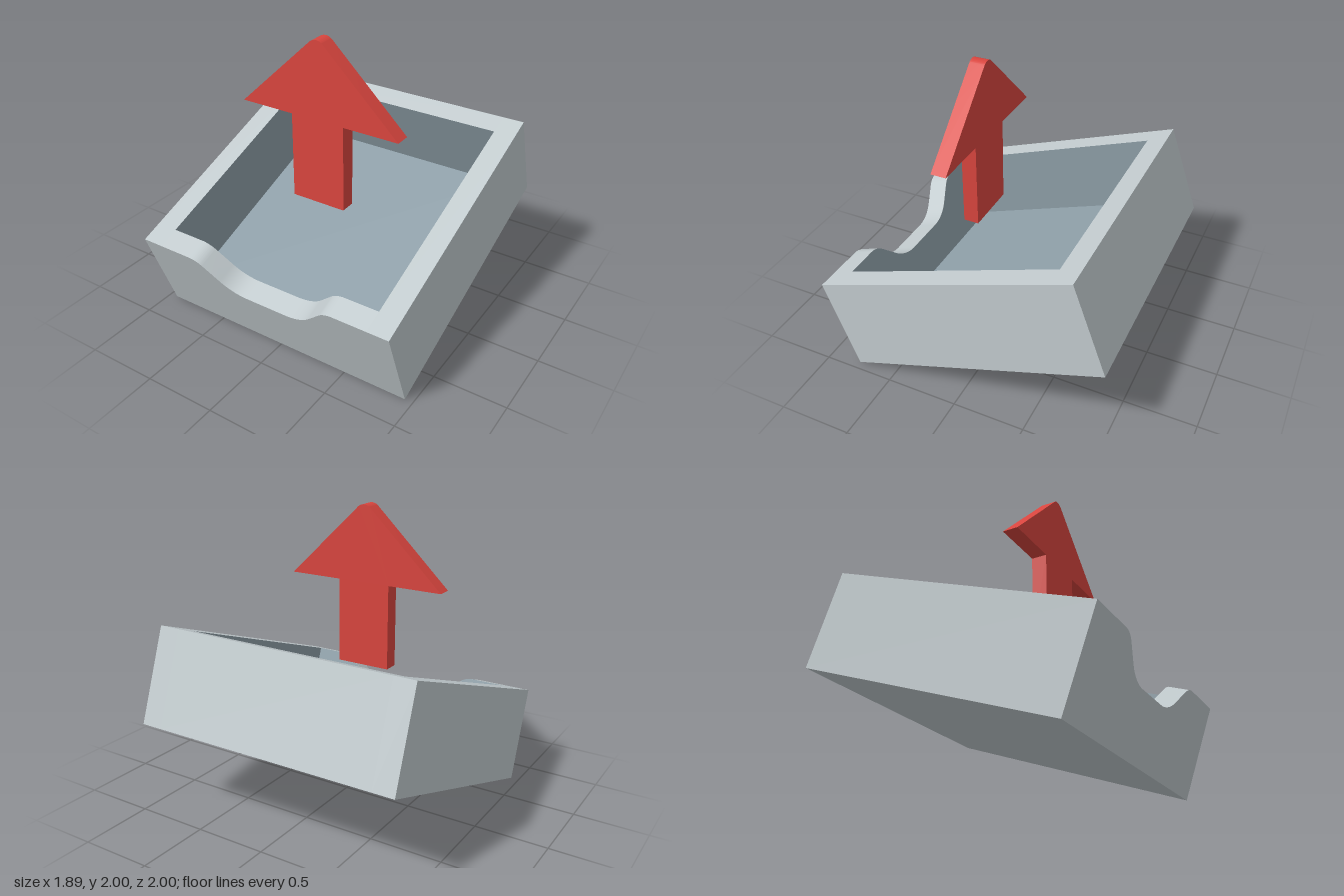
import * as THREE from 'three';
import { toCreasedNormals } from 'three/addons/utils/BufferGeometryUtils.js';

const W = 1.888, D = 1.888, H = 0.658; // tray outside size
const T = 0.15;                        // wall and floor thickness
const IN = W / 2 - T;                  // half width of the cavity

function material(name, color) {
  const m = new THREE.MeshStandardMaterial({ color });
  m.name = name;
  return m;
}

function addMesh(parent, name, geometry, mat, x = 0, y = 0, z = 0) {
  const mesh = new THREE.Mesh(geometry, mat);
  mesh.name = name;
  mesh.position.set(x, y, z);
  parent.add(mesh);
  return mesh;
}

// front wall outline with a rounded scoop in its top edge
function scoopShape(bottom) {
  const drop = 0.23, start = 0.56, r1 = 0.15, r2 = 0.28, q = Math.PI / 4;
  const c = Math.cos(q);
  const run = drop - (r1 + r2) * (1 - c); // straight 45 degree part
  const end = start - (r1 + r2) * c - run;
  const s = new THREE.Shape();
  s.moveTo(-IN, bottom);
  s.lineTo(IN, bottom);
  s.lineTo(IN, H);
  s.lineTo(start, H);
  s.absarc(start, H - r1, r1, 2 * q, 3 * q, false);
  s.absarc(end, H - drop + r2, r2, -q, -2 * q, true);
  s.absarc(-end, H - drop + r2, r2, -2 * q, -3 * q, true);
  s.absarc(-start, H - r1, r1, q, 2 * q, false);
  s.lineTo(-IN, H);
  s.closePath();
  return s;
}

function arrowShape() {
  const stem = 0.195, head = 0.585, base = 0.875, barb = 1.47, top = 2, r = 0.068;
  const a = 0.76; // slope of the head edges
  const s = new THREE.Shape();
  s.moveTo(-stem, base);
  s.lineTo(stem, base);
  s.lineTo(stem, barb);
  s.lineTo(head, barb);
  s.absarc(0, top - r, r, Math.PI / 2 - a, Math.PI / 2 + a, false);
  s.lineTo(-head, barb);
  s.lineTo(-stem, barb);
  s.closePath();
  return s;
}

export function createModel() {
  const grey = material('light grey', 0xc2cbce);
  const blue = material('blue grey lining', 0x8d9ea7);
  const red = material('red', 0xd8453e);

  const model = new THREE.Group();
  model.name = 'trayWithArrow';

  // box with one face (0..5: +x -x +y -y +z -z) in the lining colour
  const lined = (face) => Array.from({ length: 6 }, (_, i) => (i === face ? blue : grey));

  // tray, resting on its lower front edge
  const tray = new THREE.Group();
  tray.name = 'tray';
  tray.position.z = 0.775;
  tray.rotation.x = THREE.MathUtils.degToRad(20);
  model.add(tray);

  for (const side of [1, -1]) {
    addMesh(tray, side > 0 ? 'leftWall' : 'rightWall', new THREE.BoxGeometry(T, H, D),
      lined(side > 0 ? 1 : 0), side * (W - T) / 2, H / 2, -D / 2);
  }
  addMesh(tray, 'backWall', new THREE.BoxGeometry(2 * IN, H, T), lined(4), 0, H / 2, -D + T / 2);
  addMesh(tray, 'floor', new THREE.BoxGeometry(2 * IN, T, D - 2 * T), lined(2), 0, T / 2, -D / 2);

  const front = new THREE.ExtrudeGeometry(scoopShape(0), { depth: T, bevelEnabled: false, curveSegments: 10 });
  addMesh(tray, 'frontWall', toCreasedNormals(front, 0.5), grey, 0, 0, -T);

  // lining on the inner side of the front wall
  const lining = addMesh(tray, 'frontLining', new THREE.ShapeGeometry(scoopShape(T), 10), blue, 0, 0, -T - 0.002);
  lining.rotation.y = Math.PI;

  // upright arrow
  const arrow = new THREE.ExtrudeGeometry(arrowShape(), { depth: 0.106, bevelEnabled: false, curveSegments: 14 });
  addMesh(model, 'arrow', toCreasedNormals(arrow, 0.5), red, 0, 0, 0.214);

  return model;
}
